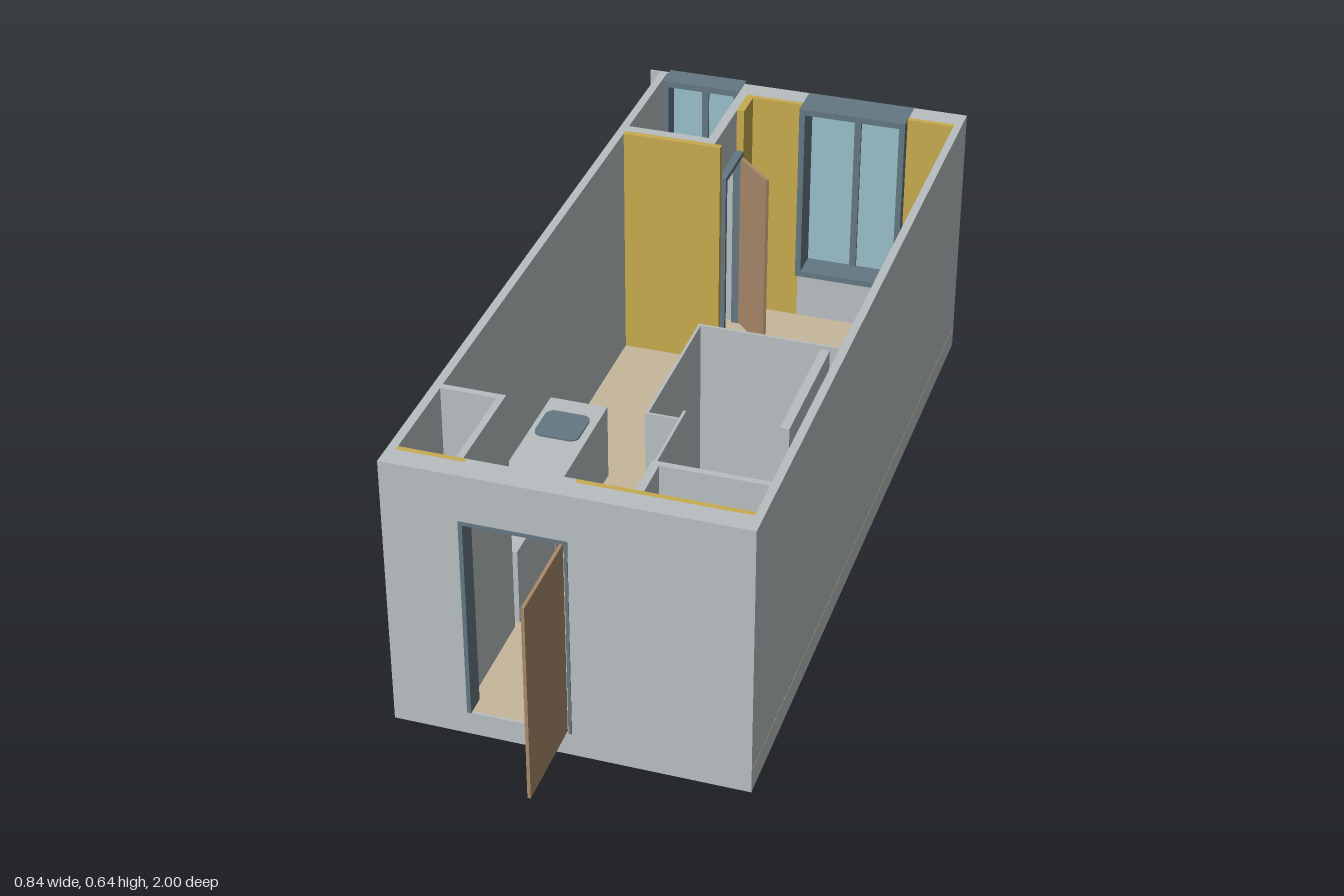
import * as THREE from 'three';

const mat = (name, color, extra = {}) => {
  const m = new THREE.MeshStandardMaterial({ color, ...extra });
  m.name = name;
  return m;
};

export function createModel() {
  const wall = mat('wallGrey', 0xb8bfc1);
  const tan = mat('floorTan', 0xc6b69c);
  const yellow = mat('liningYellow', 0xc8ab4f);
  const brown = mat('doorBrown', 0xa98a6a);
  const frame = mat('frameSlate', 0x647781);
  const glass = mat('glassBlue', 0x98bfca);

  const root = new THREE.Group();
  root.name = 'apartment';
  const H = 0.637, F = 0.055; // wall top and floor level

  // Box given by its limits on each axis
  const box = (name, m, x0, x1, y0, y1, z0, z1, parent = root) => {
    const mesh = new THREE.Mesh(new THREE.BoxGeometry(x1 - x0, y1 - y0, z1 - z0), m);
    mesh.position.set((x0 + x1) / 2, (y0 + y1) / 2, (z0 + z1) / 2);
    mesh.name = name;
    parent.add(mesh);
    return mesh;
  };

  // Base and floor
  box('baseSlab', wall, -0.345, 0.418, 0, 0.05, -0.984, 0.785);
  box('floor', tan, -0.34, 0.4185, 0.05, F, -0.98, 0.78);

  // Long side walls
  box('leftWall', wall, 0.4, 0.418, 0, H, -0.985, 0.785);
  box('rightWall', wall, -0.345, -0.326, 0, H, -0.985, 0.785);

  // Front wall around the entrance
  const dx0 = -0.183, dx1 = 0.042, dTop = 0.53;
  box('frontWallRight', wall, -0.326, dx0, 0, H, 0.737, 0.785);
  box('frontWallLeft', wall, dx1, 0.4, 0, H, 0.737, 0.785);
  box('frontLintel', wall, dx0, dx1, dTop, H, 0.725, 0.785);
  box('frontThreshold', wall, dx0, dx1, 0, F, 0.725, 0.785);
  box('frontLiningRight', yellow, -0.326, dx0, F, H, 0.725, 0.737);
  box('frontLiningLeft', yellow, dx1, 0.4, F, H, 0.725, 0.737);

  // Entrance frame and open door
  box('entranceJamb', frame, dx0, dx0 + 0.009, F, dTop, 0.74, 0.787);
  box('entranceJamb', frame, dx1 - 0.007, dx1, F, dTop, 0.74, 0.787);
  box('entranceHead', frame, dx0, dx1, dTop - 0.008, dTop, 0.74, 0.787);
  box('entranceDoor', brown, 0.026, 0.033, 0.06, 0.523, 0.785, 1.0);

  // Back wall piers, linings and panels below the windows
  box('backPier', wall, 0.29, 0.4, 0, H, -0.985, -0.932);
  box('backPier', wall, -0.13, 0.032, 0, H, -0.985, -0.932);
  box('backLining', yellow, 0.29, 0.4, F, H, -0.932, -0.92);
  box('backLining', yellow, -0.09, 0.032, F, H, -0.932, -0.92);
  box('roomSillPanel', wall, 0.032, 0.29, F, 0.18, -0.982, -0.92);
  box('balconySillPanel', wall, -0.323, -0.13, 0.045, 0.17, -0.998, -0.94);

  // Window with two panes, frame bars and a centre mullion
  const windowUnit = (name, x0, x1, y0, z0, z1, zGlass) => {
    const g = new THREE.Group();
    g.name = name;
    root.add(g);
    const t = 0.014, mid = (x0 + x1) / 2;
    box('headBar', frame, x0, x1, H - t, H + 0.001, z0, z1, g);
    box('sillBar', frame, x0, x1, y0, y0 + t, z0, z1, g);
    for (const x of [x0, x1 - t]) box('sideBar', frame, x, x + t, y0, H, z0, z1, g);
    box('mullion', frame, mid - 0.008, mid + 0.008, y0, H, zGlass - 0.01, zGlass + 0.01, g);
    for (const [a, b] of [[x0 + t, mid - 0.008], [mid + 0.008, x1 - t]])
      box('pane', glass, a, b, y0 + t, H - t, zGlass - 0.003, zGlass + 0.003, g);
  };
  windowUnit('roomWindow', 0.032, 0.29, 0.18, -0.984, -0.895, -0.968);
  windowUnit('balconyWindow', -0.323, -0.13, 0.17, -1.0, -0.938, -0.985);

  // Fin and small outdoor unit on the back corner
  box('cornerFin', wall, -0.37, -0.323, 0.045, H, -0.99, -0.985);
  box('outdoorUnit', wall, -0.42, -0.37, 0.045, 0.17, -1.0, -0.985);

  // Balcony walls with a doorway towards the room
  const bz0 = -0.845, bz1 = -0.7;
  box('balconyWallFront', wall, -0.326, -0.11, F, H, -0.69, -0.665);
  box('balconyLining', yellow, -0.326, -0.09, F, H, -0.665, -0.65);
  box('balconyWallBack', wall, -0.13, -0.108, F, H, -0.94, bz0);
  box('balconyWallEnd', wall, -0.13, -0.108, F, H, bz1, -0.665);
  box('balconyLintel', wall, -0.13, -0.108, dTop, H, bz0, bz1);
  box('balconySideLining', yellow, -0.108, -0.09, F, H, -0.932, bz0);
  for (const z of [bz0, bz1 - 0.012]) box('balconyDoorJamb', frame, -0.112, -0.09, F, dTop, z, z + 0.012);
  box('balconyDoorHead', frame, -0.112, -0.09, dTop - 0.012, dTop, bz0, bz1);

  // Half-open balcony door
  const door = new THREE.Group();
  door.name = 'balconyDoor';
  door.position.set(-0.09, 0, -0.832);
  door.rotation.y = -Math.PI / 4;
  box('doorLeaf', brown, 0, 0.127, 0.06, 0.52, -0.004, 0.004, door);
  root.add(door);

  // Front cupboards
  box('cupboardBack', wall, -0.326, -0.19, F, H, 0.49, 0.505);
  box('cupboardSide', wall, -0.205, -0.19, F, H, 0.505, 0.725);
  box('storeSide', wall, 0.16, 0.178, F, H, 0.62, 0.725);
  box('storeBack', wall, 0.178, 0.4, F, H, 0.62, 0.634);

  // Bathroom: raised floor and thin walls
  const t = 0.006;
  box('bathFloor', wall, 0.098, 0.4, F, 0.06, 0.112, 0.463);
  box('bathFloorEnd', wall, 0.17, 0.4, F, 0.06, 0.463, 0.62);
  box('bathWallBack', wall, 0.095, 0.4, F, H, 0.11, 0.11 + t);
  box('bathWallSide', wall, 0.095, 0.095 + t, F, H, 0.11, 0.468);
  box('bathWallStep', wall, 0.095, 0.17, F, H, 0.468 - t, 0.468);
  box('bathDoorPost', wall, 0.164, 0.17, F, H, 0.435, 0.468);
  box('bathWallFront', wall, 0.164, 0.164 + t, F, H, 0.468, 0.62);
  box('pipeScreen', wall, 0.36, 0.38, F, 0.63, 0.12, 0.425);

  // Oval sanitary ware
  const bowl = (name, x, z, rx, rz, y0, y1) => {
    const m = new THREE.Mesh(new THREE.CylinderGeometry(1, 0.75, y1 - y0, 24), wall);
    m.scale.set(rx, 1, rz);
    m.position.set(x, (y0 + y1) / 2, z);
    m.name = name;
    root.add(m);
  };
  bowl('basin', 0.287, 0.195, 0.06, 0.042, 0.17, 0.235);
  bowl('basinPedestal', 0.287, 0.195, 0.025, 0.02, 0.06, 0.17);
  bowl('toiletBowl', 0.292, 0.345, 0.034, 0.047, 0.06, 0.15);
  box('toiletSeatBlock', wall, 0.26, 0.325, 0.06, 0.14, 0.315, 0.4);
  box('toiletPipe', wall, 0.325, 0.36, 0.12, 0.13, 0.342, 0.35);

  // Kitchen counter, inset sink and appliance
  box('kitchenCounter', wall, -0.32, -0.185, F, 0.24, -0.105, 0.245);
  box('appliance', wall, -0.325, -0.185, F, 0.24, 0.25, 0.475);
  const s = new THREE.Shape(), r = 0.02, w = 0.052;
  s.absarc(w - r, w - r, r, 0, Math.PI / 2);
  s.absarc(r - w, w - r, r, Math.PI / 2, Math.PI);
  s.absarc(r - w, r - w, r, Math.PI, Math.PI * 1.5);
  s.absarc(w - r, r - w, r, Math.PI * 1.5, Math.PI * 2);
  const sink = new THREE.Mesh(new THREE.ExtrudeGeometry(s, { depth: 0.004, bevelEnabled: false }), frame);
  sink.rotation.x = -Math.PI / 2;
  sink.position.set(-0.255, 0.24, 0);
  sink.name = 'sink';
  root.add(sink);

  // Low mat on the floor
  box('floorMat', tan, 0.08, 0.24, F, 0.059, -0.055, 0.1);

  return root;
}
